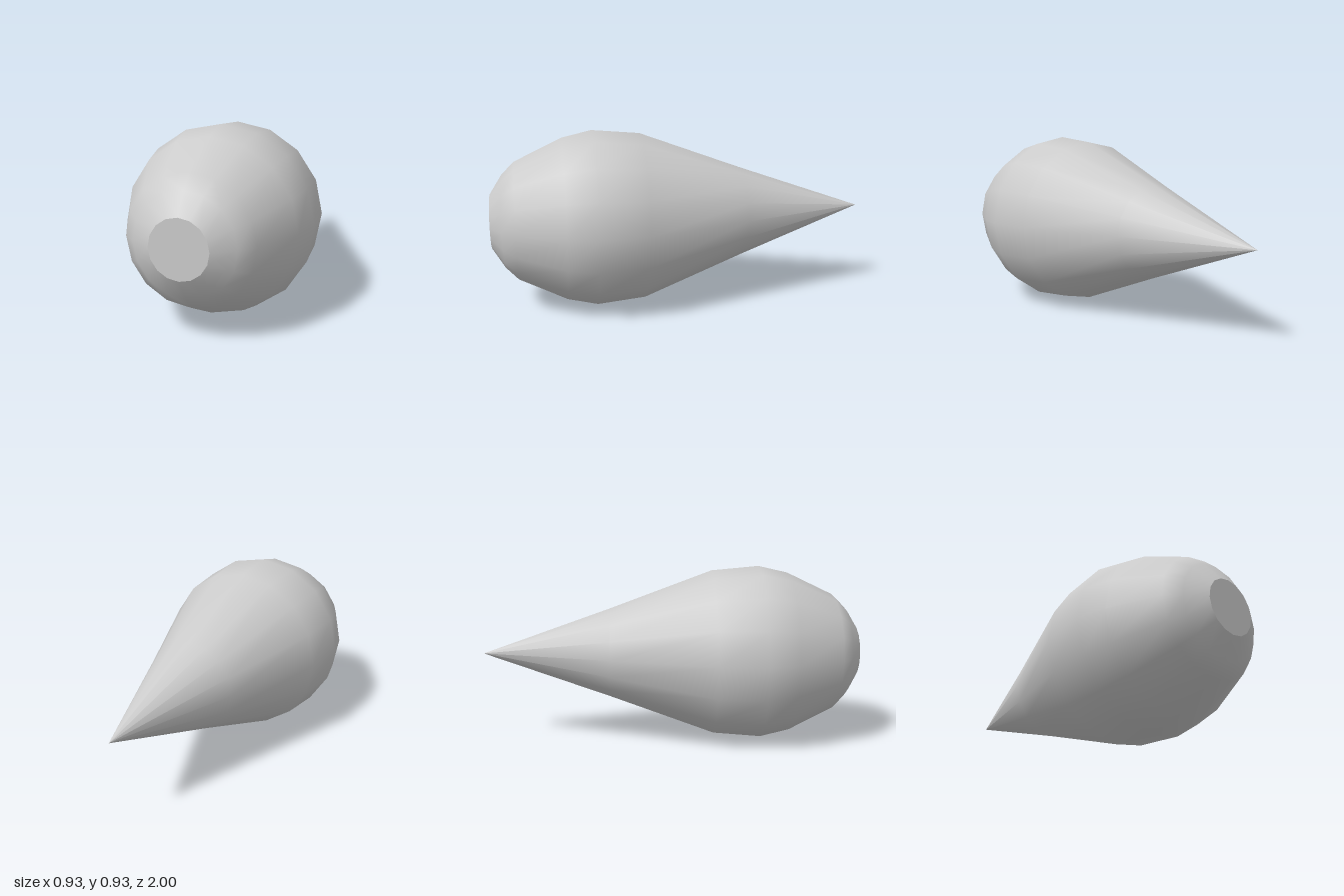
import * as THREE from 'three';

export function createModel() {
  const group = new THREE.Group();
  const material = new THREE.MeshStandardMaterial({ color: 0xcccccc });
  const sides = 16;
  const axisHeight = 0.4625;

  // Teardrop profile as [radius, z], from the pointed tail to the blunt nose
  const profile = [
    [0, -1], [0.24, -0.32], [0.44, 0.22], [0.4625, 0.47],
    [0.427, 0.625], [0.31, 0.87], [0.245, 0.935], [0.142, 1],
  ].map(([r, z]) => new THREE.Vector2(r, z));

  // Smooth body, turned so that its axis runs along z
  const bodyGeometry = new THREE.LatheGeometry(profile, sides);
  bodyGeometry.rotateX(Math.PI / 2);
  const body = new THREE.Mesh(bodyGeometry, material);
  body.name = 'teardropBody';
  body.position.y = axisHeight;

  // Flat nose with a crisp rim
  const nose = new THREE.Mesh(new THREE.CircleGeometry(0.142, sides), material);
  nose.name = 'flatNose';
  nose.position.set(0, axisHeight, 1);

  group.add(body, nose);
  return group;
}
